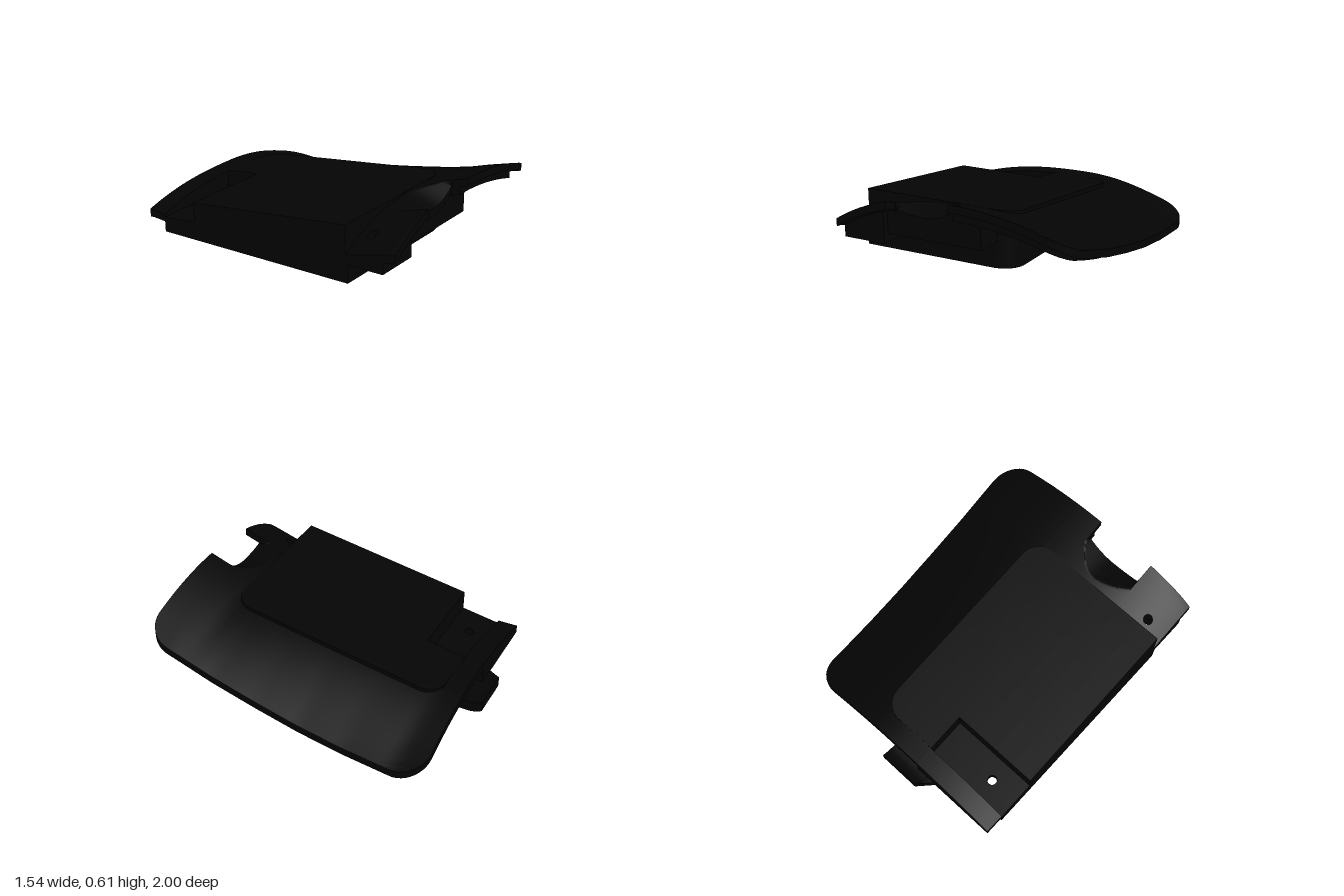
import * as THREE from 'three';
import { toCreasedNormals } from 'three/addons/utils/BufferGeometryUtils.js';

const black = new THREE.MeshStandardMaterial({ color: 0x040404 });
black.name = 'black plastic';

// Straight-line interpolation through [z, y] points.
function along(points, z) {
  let i = 1;
  while (i < points.length - 1 && z > points[i][0]) i++;
  const [a, ya] = points[i - 1], [b, yb] = points[i];
  return ya + (yb - ya) * THREE.MathUtils.clamp((z - a) / (b - a), 0, 1);
}
const crest = [[-0.91, 0.264], [-0.78, 0.268], [0.65, 0.486], [0.985, 0.602]];
const edge = [[-0.91, 0.085], [-0.73, 0.066], [-0.4, 0.1], [-0.1, 0.15],
  [0.2, 0.22], [0.5, 0.3], [0.8, 0.4], [0.99, 0.45]];

// Height of the arched cover, with the thumb scoop at the front.
function skin(x, z) {
  const c = along(crest, z), u = Math.abs(x) / 0.77;
  if (x > 0) {
    // The arch turns into a soft S towards the back.
    const bend = 0.55 * (0.99 - z) / 1.9;
    return c - (c - along(edge, z)) * (u * u + bend * u ** 3 * (1 - u));
  }
  const y = c - (0.1 + 0.1 * (z + 0.91) / 1.9) * u ** 2.5;
  const d = (x + 0.22) / 0.21;
  if (Math.abs(d) > 0.999 || z < 0.7) return y;
  return Math.min(y, 0.495 - 0.25 * (z - 0.7) + (d > 0 ? 0.09 : 0.025) * d * d);
}
const under = (x, z) => skin(x, z) - 0.03;
const base = (x, z) => skin(x, z) - 0.05;
const deck = (x, z) => 0.27 + (z + 0.78) * 0.153;
const below = d => (x, z) => deck(x, z) - d;
const floorY = (x, z) => 0.13 + (z - 0.68) * 0.0616;

const span = (a, b, n) => Array.from({ length: n + 1 }, (_, i) => a + (b - a) * i / n);
// Columns that crowd together towards a rounded corner of radius r at x = b.
const roundSpan = (a, b, r, n) => [...span(a, b - r, n),
  ...span(0, Math.PI / 2, 10).slice(1).map(t => b - r + r * Math.sin(t))];
// How far a rounded corner cuts in at x.
const cut = (x, b, r) => x > b - r ? r - Math.sqrt(Math.max(0, r * r - (x - b + r) ** 2)) : 0;
const asFn = v => typeof v === 'function' ? v : () => v;

// Closed slab over columns xs, from z0(x) to z1(x), between two height rules.
function slab(xs, z0, z1, top, bottom, rows = 24) {
  const [f0, f1, ft, fb] = [z0, z1, top, bottom].map(asFn);
  const p = (i, j, up) => {
    const x = xs[i], z = f0(x) + (f1(x) - f0(x)) * j / rows, t = ft(x, z);
    return [x, up ? t : Math.min(fb(x, z), t - 0.005), z];
  };
  const out = [];
  const quad = (a, b, c, d) => out.push(...a, ...b, ...c, ...a, ...c, ...d);
  const m = xs.length - 1;
  for (let i = 0; i < m; i++) {
    for (let j = 0; j < rows; j++) {
      quad(p(i, j, 1), p(i, j + 1, 1), p(i + 1, j + 1, 1), p(i + 1, j, 1));
      quad(p(i, j, 0), p(i + 1, j, 0), p(i + 1, j + 1, 0), p(i, j + 1, 0));
    }
    quad(p(i, rows, 0), p(i + 1, rows, 0), p(i + 1, rows, 1), p(i, rows, 1));
    quad(p(i + 1, 0, 0), p(i, 0, 0), p(i, 0, 1), p(i + 1, 0, 1));
  }
  for (let j = 0; j < rows; j++) {
    quad(p(m, j + 1, 0), p(m, j, 0), p(m, j, 1), p(m, j + 1, 1));
    quad(p(0, j, 0), p(0, j + 1, 0), p(0, j + 1, 1), p(0, j, 1));
  }
  const g = new THREE.BufferGeometry();
  g.setAttribute('position', new THREE.Float32BufferAttribute(out, 3));
  return toCreasedNormals(g, 0.5);
}

export function createModel() {
  const model = new THREE.Group();
  model.name = 'cover';
  const group = name => {
    const g = new THREE.Group();
    g.name = name;
    model.add(g);
    return g;
  };
  const add = (parent, name, ...args) => {
    const mesh = new THREE.Mesh(slab(...args), black);
    mesh.name = name;
    parent.add(mesh);
  };
  // A strip from xa to xb pierced by a round hole.
  const holed = (parent, name, xa, xb, hx, hz, z0, z1, top, bottom) => {
    const r = 0.03;
    const xs = span(0, Math.PI, 12).map(t => hx - r * Math.cos(t));
    const half = x => Math.sqrt(Math.max(0, r * r - (x - hx) ** 2));
    add(parent, name, span(xa, hx - r, 4), z0, z1, top, bottom, 12);
    add(parent, name, xs, z0, x => hz - half(x), top, bottom, 8);
    add(parent, name, xs, x => hz + half(x), z1, top, bottom, 8);
    add(parent, name, span(hx + r, xb, 6), z0, z1, top, bottom, 12);
  };

  // Arched outer shell around the tray opening
  const shell = group('shell');
  const back = -0.91, front = 0.985;
  const flare = x => front + 0.015 * THREE.MathUtils.clamp((-x - 0.4) / 0.3, 0, 1);
  holed(shell, 'shellFrontCorner', -0.77, -0.43, -0.63, 0.75, 0.62, flare, skin, base);
  add(shell, 'shellScoop', span(-0.43, -0.01, 40), 0.62, 0.88, skin, base, 26);
  add(shell, 'shellFront', span(-0.01, 0.18, 4), 0.62, front, skin, base, 12);
  add(shell, 'shellBackCorner', span(-0.77, -0.17, 12), back, -0.78, skin,
    (x, z) => Math.min(base(x, z), deck(x, z) - 0.14), 4);
  add(shell, 'shellBack', span(-0.17, 0.18, 6), back, -0.74, skin, base, 6);
  add(shell, 'shellWing', roundSpan(0.18, 0.77, 0.17, 12),
    x => back + cut(x, 0.77, 0.17), x => front - cut(x, 0.77, 0.17), skin, base, 40);

  // Stepped lip below the shell rim
  const lip = group('lip');
  const lipTop = (x, z) => skin(x, z) - 0.045, lipBase = (x, z) => skin(x, z) - 0.1;
  const lipBack = x => -0.86 + cut(x, 0.7, 0.14), lipFront = x => 0.93 - cut(x, 0.7, 0.14);
  add(lip, 'lipFront', roundSpan(-0.01, 0.7, 0.14, 10),
    x => lipFront(x) - 0.06, lipFront, lipTop, lipBase, 2);
  add(lip, 'lipBack', roundSpan(-0.17, 0.7, 0.14, 14),
    lipBack, x => lipBack(x) + 0.06, lipTop, lipBase, 2);
  add(lip, 'lipSide', span(0.63, 0.7, 6), lipBack, lipFront, lipTop, lipBase, 40);

  // Flat raised deck
  const platform = group('platform');
  add(platform, 'deckSide', span(-0.77, -0.17, 4), -0.52, 0.66, deck, below(0.05));
  add(platform, 'deckMain', roundSpan(-0.17, 0.25, 0.13, 4),
    x => -0.78 + cut(x, 0.25, 0.13), x => 0.66 - cut(x, 0.25, 0.13), deck, below(0.05));
  add(platform, 'deckFrontWall', span(-0.77, 0.12, 10), 0.62, 0.66, below(0.02), base, 2);

  // Sunken pocket at the back corner of the deck
  const pocket = group('pocket');
  holed(pocket, 'pocketFloor', -0.77, -0.17, -0.57, -0.65, -0.78, -0.52, below(0.13), below(0.18));
  add(pocket, 'pocketFrontWall', [-0.77, -0.13], -0.52, -0.48, below(0.02), below(0.18), 2);
  add(pocket, 'pocketInnerWall', [-0.17, -0.13], -0.78, -0.52, below(0.02), below(0.18), 2);

  // Hollow tray underneath, open at the bottom
  const tray = group('tray');
  const trayBack = x => -0.78 + cut(x, 0.25, 0.14);
  const trayFront = x => 0.68 - cut(x, 0.25, 0.14);
  add(tray, 'traySideWall', [-0.77, -0.72], -0.52, 0.62, below(0.02), floorY);
  add(tray, 'trayPocketWall', [-0.77, -0.72], -0.78, -0.52, below(0.14), floorY);
  add(tray, 'trayInnerWall', roundSpan(0.18, 0.25, 0.06, 2),
    trayBack, trayFront, under, floorY);
  add(tray, 'trayFrontWall', roundSpan(-0.77, 0.25, 0.14, 12),
    x => trayFront(x) - 0.06, trayFront, under, floorY, 3);
  add(tray, 'trayPocketBack', [-0.77, -0.17], -0.78, -0.73, below(0.14), floorY, 2);
  add(tray, 'trayBackWall', roundSpan(-0.17, 0.25, 0.14, 6),
    trayBack, x => trayBack(x) + 0.05, under, floorY, 3);

  // Stepped blocks below the front edge
  const step = group('frontStep');
  const stepBase = (x, z) => 0.26 + (z - 0.92) * 0.06;
  holed(step, 'stepOuter', -0.77, -0.49, -0.63, 0.75, 0.62, 0.92, under, stepBase);
  add(step, 'stepMiddle', span(-0.49, 0.14, 30), 0.62, 0.875, under,
    (x, z) => 0.31 + (z - 0.875) * 0.08, 12);

  // Upturned catch tab at the back
  const tabRise = z => 3 * Math.max(0, -0.9 - z) ** 2;
  add(model, 'backTab', [-0.39, -0.3, -0.225, -0.1, 0.05],
    x => Math.max(-1, -0.91 - (x + 0.3) * 1.2), -0.76,
    (x, z) => 0.12 + tabRise(z), (x, z) => 0.05 + tabRise(z), 12);

  return model;
}
